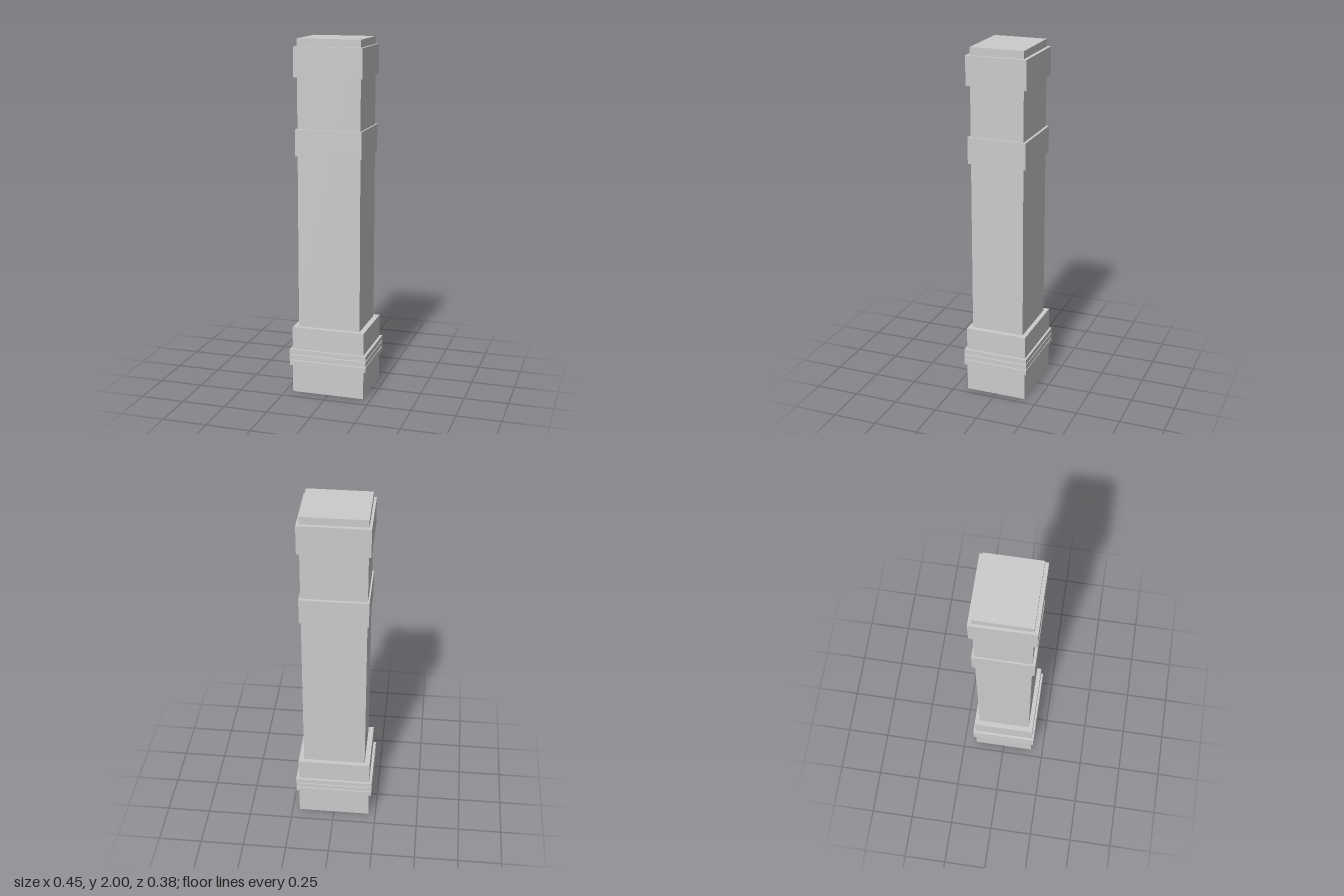
import * as THREE from 'three';

export function createModel() {
  const group = new THREE.Group();
  const material = new THREE.MeshStandardMaterial({ color: 0xcccccc, flatShading: true });

  // Centred block spanning a height range
  const block = (name, width, depth, bottom, top) => {
    const mesh = new THREE.Mesh(new THREE.BoxGeometry(width, top - bottom, depth), material);
    mesh.name = name;
    mesh.position.y = (bottom + top) / 2;
    group.add(mesh);
  };

  // Plinth and the shaft rising out of it
  block('base', 0.416, 0.352, 0, 0.387);
  block('shaft', 0.356, 0.302, 0.387, 2);

  // Three thin mouldings around the base
  for (let i = 0; i < 3; i++) {
    const bottom = 0.163 + i * 0.0335;
    block(`baseRing${i + 1}`, 0.446, 0.377, bottom, bottom + 0.028);
  }

  // Collars around the shaft
  block('middleCollar', 0.374, 0.332, 1.364, 1.513);
  block('upperCollar', 0.384, 0.342, 1.795, 1.958);

  return group;
}
